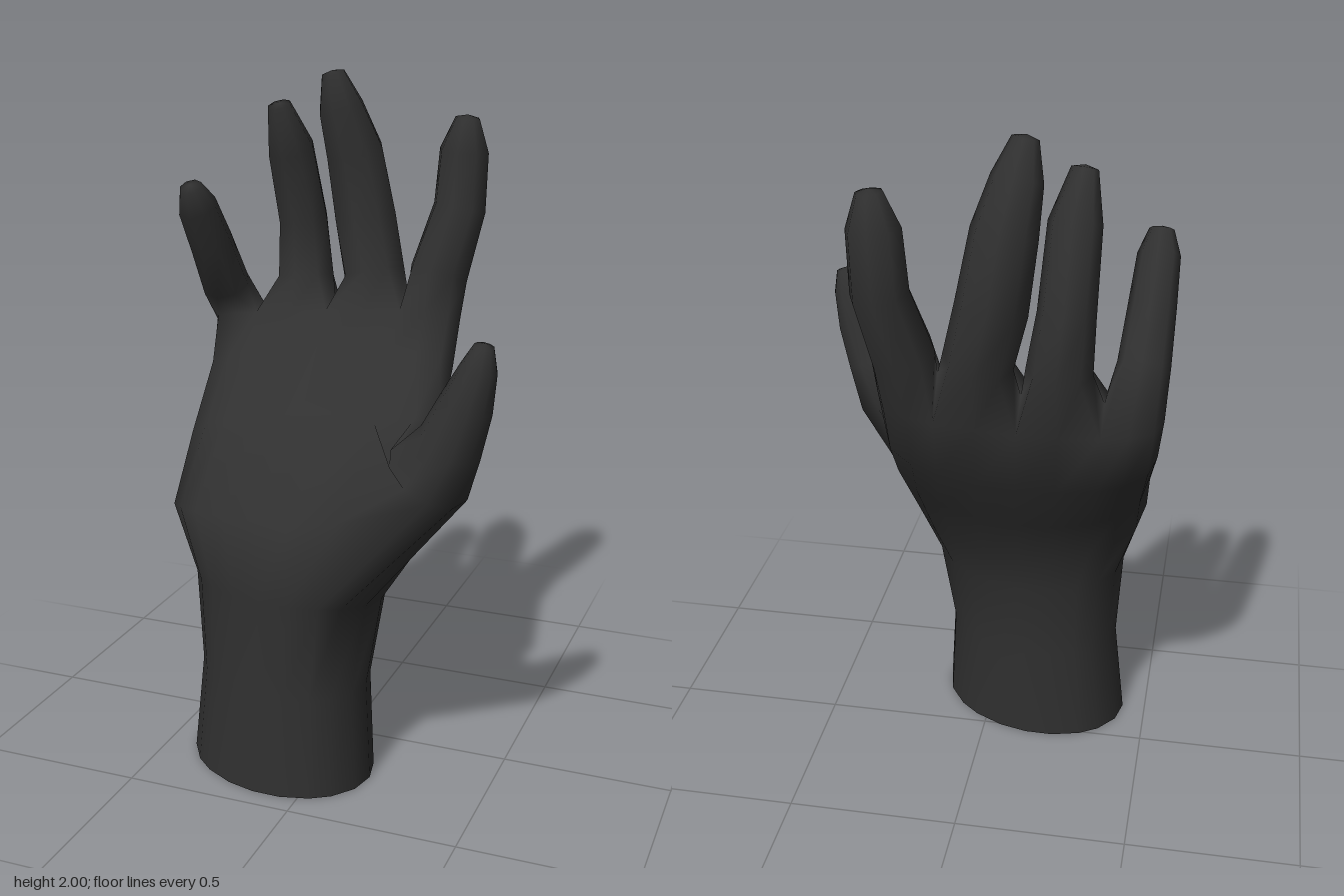
import * as THREE from 'three';

// Half-way-round column positions: the side, then the finger edges and middles.
const ACROSS = [1, 0.94, 0.77, 0.58, 0.29, 0, -0.29, -0.58, -0.77, -0.94, -1];
const COLS = 20;

// Palm rings: [x, y, z, halfWidth, halfDepth, tilt, skew, roll, squareness]
const PALM = [
  [-0.137, 0, 0.205, 0.292, 0.233, 0, -0.13, 0, 1],
  [-0.128, 0.3, 0.198, 0.267, 0.226, 0, -0.13, 0, 1],
  [-0.115, 0.57, 0.187, 0.295, 0.236, 0.1, -0.11, 0, 0.95],
  [-0.12, 0.76, 0.16, 0.352, 0.275, 0.28, 0, 0, 0.9],
  [-0.11, 0.95, 0.01, 0.375, 0.205, 0.65, 0.08, 0.1, 0.85],
  [-0.135, 1.11, -0.18, 0.378, 0.145, 0.75, 0.1, 0.08, 0.8],
  [-0.145, 1.255, -0.26, 0.385, 0.098, 0.45, 0.1, 0.07, 0.65],
];

// Swelling at the thumb's root and the skin fold beside it: ring -> column -> offset
const SWELL = {
  3: { 3: [0.045, 0.045, 0.06], 4: [0, 0, 0.02] },
  4: { 0: [0.025, 0.04, 0.08], 1: [0.08, 0.05, 0.1], 2: [0.08, 0.04, 0.08], 3: [0.03, 0, 0.045] },
};

// Heights of the three folds between the fingers
const FOLDS = [1.35, 1.29, 1.275];

// Finger rings from root to tip: [x, y, z, radius], index finger first
const FINGERS = [
  [[0.168, 1.41, -0.305, 0.091], [0.21, 1.6, -0.365, 0.081], [0.222, 1.77, -0.36, 0.075],
    [0.23, 1.865, -0.36, 0.037]],
  [[-0.035, 1.4, -0.295, 0.097], [-0.075, 1.56, -0.325, 0.098], [-0.105, 1.76, -0.31, 0.09],
    [-0.13, 1.89, -0.265, 0.07], [-0.147, 1.99, -0.245, 0.036]],
  [[-0.25, 1.38, -0.275, 0.09], [-0.268, 1.55, -0.3, 0.078], [-0.275, 1.77, -0.225, 0.072],
    [-0.29, 1.9, -0.175, 0.036]],
  [[-0.463, 1.36, -0.15, 0.073], [-0.472, 1.5, -0.075, 0.066], [-0.478, 1.62, 0, 0.059],
    [-0.48, 1.68, 0.035, 0.034]],
];

const THUMB = [
  [0.35, 1.0, 0.325, 0.122], [0.415, 1.105, 0.347, 0.09], [0.46, 1.22, 0.358, 0.073],
  [0.493, 1.32, 0.366, 0.05], [0.506, 1.38, 0.37, 0.027],
];

function handGeometry() {
  const pos = [], index = [];
  const vertex = p => pos.push(p.x, p.y, p.z) / 3 - 1;
  const point = i => new THREE.Vector3().fromArray(pos, i * 3);
  const quad = (a, b, c, d) => index.push(a, d, b, b, d, c);

  // palm grid, running from the thumb side across the front and round the back
  const grid = PALM.map(([x, y, z, a, b, tilt, skew, roll, square], i) => {
    const row = [];
    for (let j = 0; j < COLS; j++) {
      const u = ACROSS[j <= 10 ? j : COLS - j];
      const v = Math.pow(1 - u * u, square / 2) * (j <= 10 ? 1 : -1);
      const [dx, dy, dz] = SWELL[i]?.[j] ?? [0, 0, 0];
      row.push(vertex(new THREE.Vector3(
        x + a * u + dx,
        y + a * u * roll + b * v * Math.sin(tilt) + dy,
        z - a * u * skew + b * v * Math.cos(tilt) + dz)));
    }
    return row;
  });
  const isThumbOpening = (i, j) => (i === 2 || i === 3) && j < 3;
  for (let i = 0; i < grid.length - 1; i++) {
    for (let j = 0; j < COLS; j++) {
      const k = (j + 1) % COLS;
      if (!isThumbOpening(i, j)) quad(grid[i][j], grid[i][k], grid[i + 1][k], grid[i + 1][j]);
    }
  }

  // grows a digit from an open loop of the skin and closes its tip
  function grow(loop, rings, startAngle) {
    const n = loop.length;
    const centres = rings.map(r => new THREE.Vector3(r[0], r[1], r[2]));
    const T = new THREE.Vector3(), U = new THREE.Vector3(), V = new THREE.Vector3();
    let below = loop;
    rings.forEach(([, , , radius], i) => {
      T.subVectors(centres[Math.min(i + 1, rings.length - 1)], centres[Math.max(i - 1, 0)]).normalize();
      U.set(1, 0, 0).addScaledVector(T, -T.x).normalize();
      V.crossVectors(U, T);
      const ring = loop.map((_, j) => {
        const t = startAngle + (j / n) * Math.PI * 2;
        return vertex(centres[i].clone()
          .addScaledVector(U, radius * Math.cos(t))
          .addScaledVector(V, radius * Math.sin(t)));
      });
      for (let j = 0; j < n; j++) {
        const k = (j + 1) % n;
        quad(below[j], below[k], ring[k], ring[j]);
      }
      below = ring;
    });
    const tip = vertex(centres.at(-1).clone().addScaledVector(T, rings.at(-1)[3] * 0.25));
    below.forEach((v, j) => index.push(v, tip, below[(j + 1) % n]));
  }

  // fingers on the knuckle ring, sharing the folds between them
  const top = grid.at(-1);
  const folds = FOLDS.map((y, f) =>
    vertex(point(top[3 + 2 * f]).lerp(point(top[17 - 2 * f]), 0.5).setY(y)));
  const sides = [top[0], ...folds, top[10]];
  FINGERS.forEach((rings, f) => {
    const c = 1 + 2 * f, d = 17 - 2 * f;
    grow([top[c], top[c + 1], top[c + 2], sides[f + 1], top[d], top[d + 1], top[d + 2], sides[f]],
      rings, Math.PI / 4);
  });

  // thumb out of the opening in the side of the palm
  const [low, mid, high] = grid.slice(2, 5);
  grow([low[1], low[2], low[3], mid[3], high[3], high[2], high[1], high[0], mid[0], low[0]], THUMB, 0);

  const g = new THREE.BufferGeometry();
  g.setAttribute('position', new THREE.Float32BufferAttribute(pos, 3));
  g.setIndex(index);
  g.computeVertexNormals();
  return g;
}

export function createModel() {
  // one continuous skin, open under the wrist
  const charcoal = new THREE.MeshStandardMaterial({ color: 0x303030, side: THREE.DoubleSide });
  charcoal.name = 'charcoal';
  const skin = new THREE.Mesh(handGeometry(), charcoal);
  skin.name = 'handSkin';
  const hand = new THREE.Group();
  hand.name = 'hand';
  hand.add(skin);
  return hand;
}
